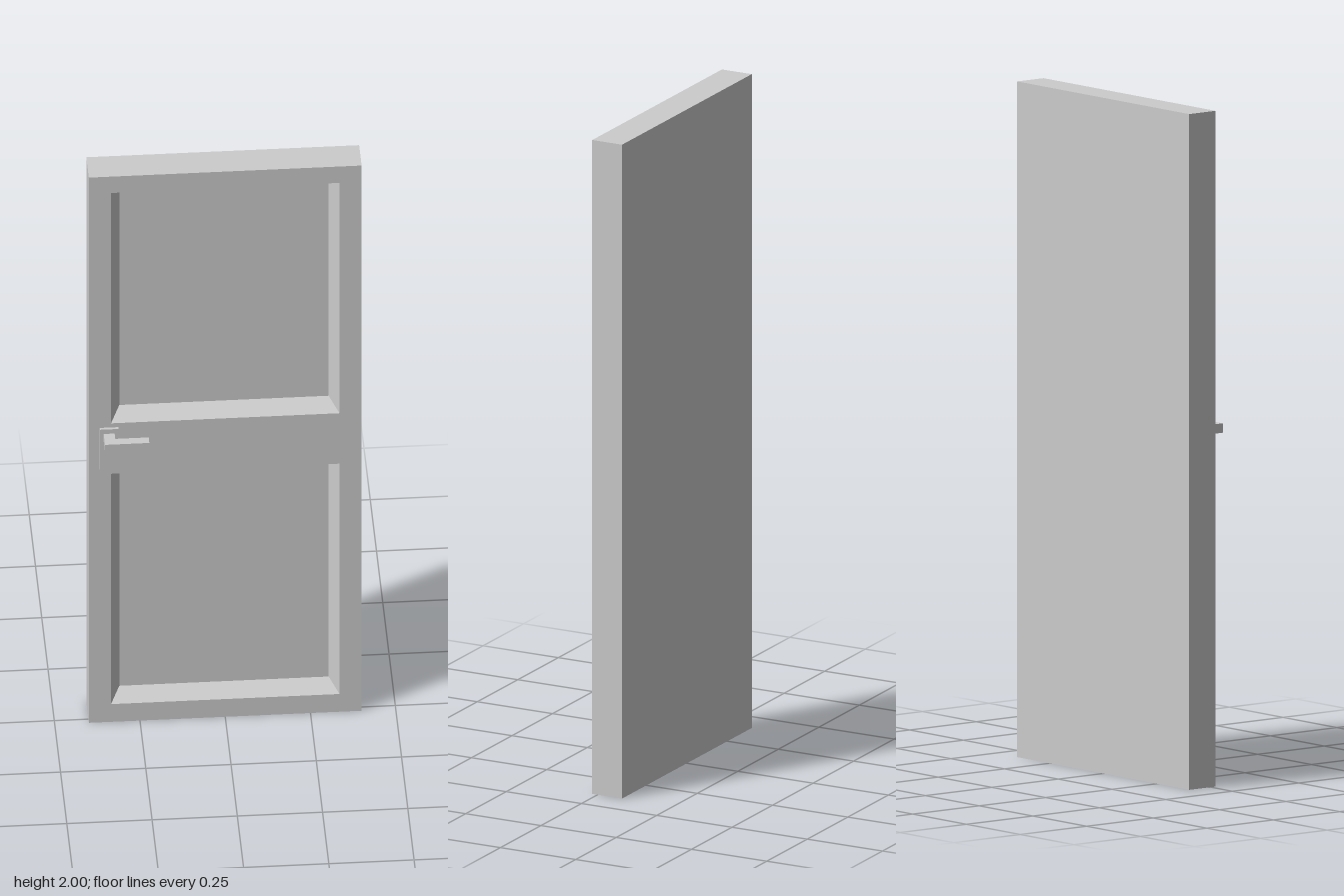
import * as THREE from 'three';

const BACK = -0.081, FRONT = 0.018, RECESS = -0.032;
const material = new THREE.MeshStandardMaterial({ color: 0xcccccc, flatShading: true });

function add(group, name, geometry) {
  const mesh = new THREE.Mesh(geometry, material);
  mesh.name = name;
  group.add(mesh);
  return mesh;
}

// Corners of an upright rectangle, counter-clockwise from the front
const rect = (w, y0, y1, z) => [[-w, y0, z], [w, y0, z], [w, y1, z], [-w, y1, z]];

// Four walls from rectangle a to rectangle b, plus one cap
function walls(a, b, cap) {
  const quads = a.map((p, i) => [p, a[(i + 1) % 4], b[(i + 1) % 4], b[i]]);
  quads.push(cap);
  const points = quads.flatMap(([p, q, r, s]) => [p, q, r, p, r, s]).flat();
  const geometry = new THREE.BufferGeometry();
  geometry.setAttribute('position', new THREE.Float32BufferAttribute(points, 3));
  geometry.computeVertexNormals();
  return geometry;
}

function boxBetween(x0, x1, y0, y1, z0, z1) {
  return new THREE.BoxGeometry(x1 - x0, y1 - y0, z1 - z0)
    .translate((x0 + x1) / 2, (y0 + y1) / 2, (z0 + z1) / 2);
}

function tracePath(path, points) {
  points.forEach(([x, y], i) => (i ? path.lineTo(x, y) : path.moveTo(x, y)));
  path.closePath();
  return path;
}

export function createModel() {
  const door = new THREE.Group();
  door.name = 'door';

  // Slab edges and back
  const backRect = rect(0.4, 0, 2, BACK);
  add(door, 'slab', walls(backRect, rect(0.4, 0, 2, FRONT), [...backRect].reverse()));

  // Front frame face with an opening for each sunken panel
  const face = tracePath(new THREE.Shape(), rect(0.4, 0, 2, 0));
  const openings = { lowerPanel: [0.065, 0.91], upperPanel: [1.095, 1.94] };
  for (const [name, [y0, y1]] of Object.entries(openings)) {
    face.holes.push(tracePath(new THREE.Path(), rect(0.335, y0, y1, 0)));
    // Sloped walls running down to the flat panel
    const inner = rect(0.307, y0 + 0.028, y1 - 0.028, RECESS);
    add(door, name, walls(rect(0.335, y0, y1, FRONT), inner, inner));
  }
  add(door, 'frontFrame', new THREE.ShapeGeometry(face).translate(0, 0, FRONT));

  // Handle: back plate and L-shaped lever
  const handle = new THREE.Group();
  handle.name = 'handle';
  add(handle, 'handlePlate', boxBetween(-0.368, -0.313, 0.928, 1.08, FRONT, 0.027));
  const lever = tracePath(new THREE.Shape(), [
    [-0.357, 0.027], [-0.325, 0.027], [-0.325, 0.053],
    [-0.227, 0.053], [-0.227, 0.08], [-0.357, 0.08],
  ]);
  add(handle, 'lever', new THREE.ExtrudeGeometry(lever, { depth: 0.028, bevelEnabled: false })
    .rotateX(Math.PI / 2).translate(0, 1.064, 0));
  door.add(handle);

  return door;
}
